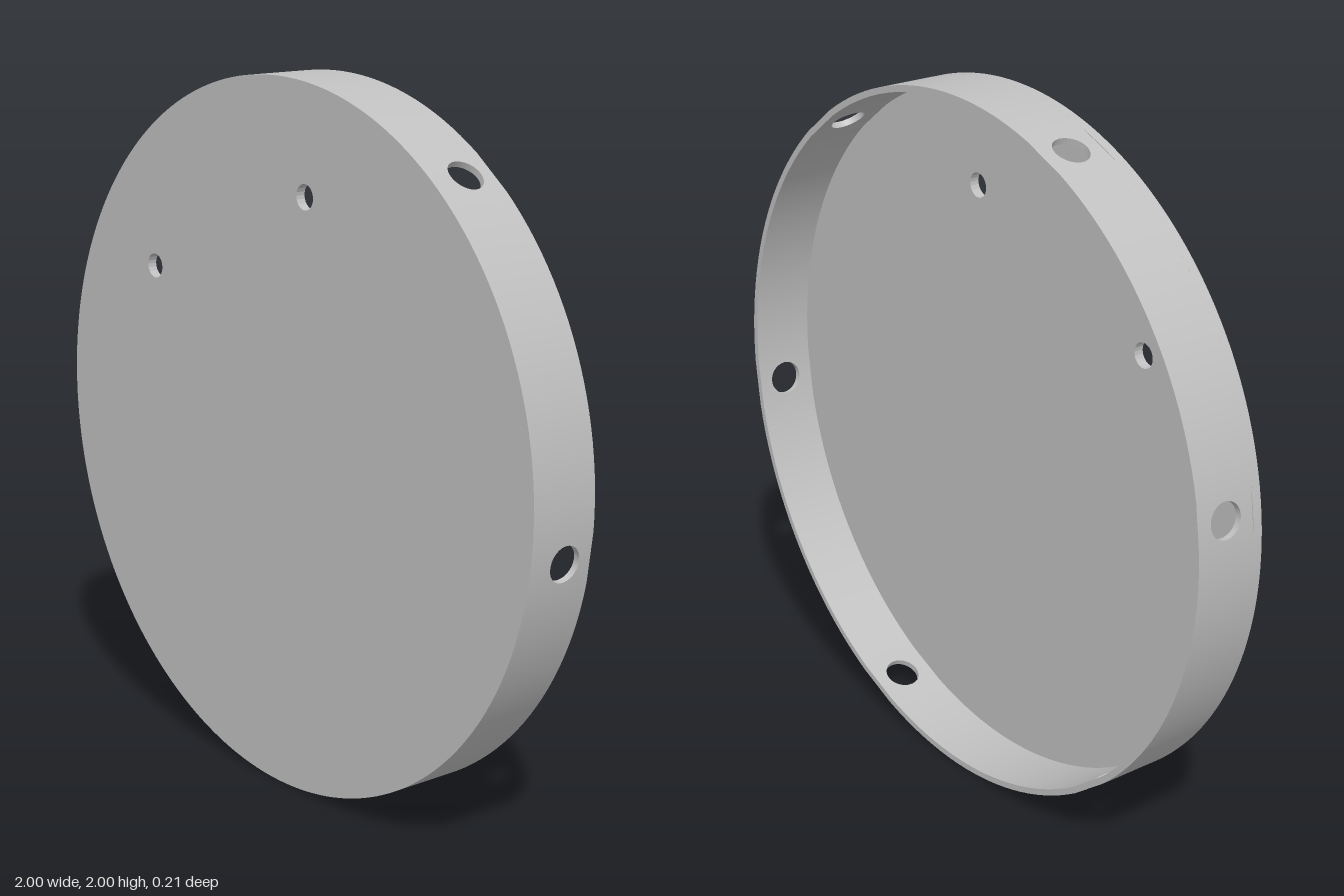
import * as THREE from 'three';
import { mergeGeometries, toCreasedNormals } from 'three/addons/utils/BufferGeometryUtils.js';

const R = 1, HALF = 0.105, PLATE = 0.028, WALL = 0.018;
const HOLES = 6, FIRST = -7.5, PANEL = 0.14; // rim holes and the arc length of each pierced panel
const BACK = -HALF, FRONT = HALF - PLATE;

// Wraps a flat strip (x along the arc, y radial, z depth) around the rim, centred on an angle
function bend(geo, angle) {
  const p = geo.attributes.position, n = geo.attributes.normal;
  const axis = new THREE.Vector3(0, 0, 1), v = new THREE.Vector3();
  for (let i = 0; i < p.count; i++) {
    const turn = angle - Math.PI / 2 - p.getX(i) / R;
    v.set(0, R + p.getY(i), p.getZ(i)).applyAxisAngle(axis, turn);
    p.setXYZ(i, v.x, v.y, v.z);
    v.fromBufferAttribute(n, i).applyAxisAngle(axis, turn);
    n.setXYZ(i, v.x, v.y, v.z);
  }
  return geo;
}

function circleHole(x, y, r) {
  return new THREE.Path().absarc(x, y, r, 0, Math.PI * 2, true);
}

// Short wall panel with a round hole through it
function piercedPanel(angle) {
  const w = PANEL / 2;
  const shape = new THREE.Shape([[-w, BACK], [w, BACK], [w, FRONT], [-w, FRONT]]
    .map(([x, y]) => new THREE.Vector2(x, y)));
  shape.holes.push(circleHole(0, (BACK + FRONT) / 2, 0.05));
  const geo = new THREE.ExtrudeGeometry(shape, { depth: WALL, bevelEnabled: false, curveSegments: 32 });
  return bend(geo.rotateX(Math.PI / 2), angle);
}

// Plain wall between two pierced panels
function plainWall(angle) {
  const length = (Math.PI * 2 * R) / HOLES - PANEL;
  const geo = new THREE.BoxGeometry(length, WALL, FRONT - BACK, 24, 1, 1);
  geo.translate(0, -WALL / 2, (BACK + FRONT) / 2);
  return bend(geo.toNonIndexed(), angle);
}

export function createModel() {
  const group = new THREE.Group();
  group.name = 'roundCover';
  const grey = new THREE.MeshStandardMaterial({ color: 0xc0c0c0 });
  grey.name = 'lightGrey';

  // Front plate with two small holes
  const disc = new THREE.Shape().absarc(0, 0, R, 0, Math.PI * 2, false);
  disc.holes.push(circleHole(0.115, 0.69, 0.035), circleHole(-0.573, 0.41, 0.035));
  const plateGeo = new THREE.ExtrudeGeometry(disc, { depth: PLATE, bevelEnabled: false, curveSegments: 150 });
  const plate = new THREE.Mesh(toCreasedNormals(plateGeo, 0.5), grey);
  plate.name = 'frontPlate';
  plate.position.set(0, R, FRONT);
  group.add(plate);

  // Rim wall, open at the back, with evenly spaced holes
  const pieces = [];
  for (let i = 0; i < HOLES; i++) {
    const angle = THREE.MathUtils.degToRad(FIRST + (i * 360) / HOLES);
    pieces.push(piercedPanel(angle), plainWall(angle + Math.PI / HOLES));
  }
  const rim = new THREE.Mesh(mergeGeometries(pieces), grey);
  rim.name = 'rimWall';
  rim.position.y = R;
  group.add(rim);

  return group;
}
